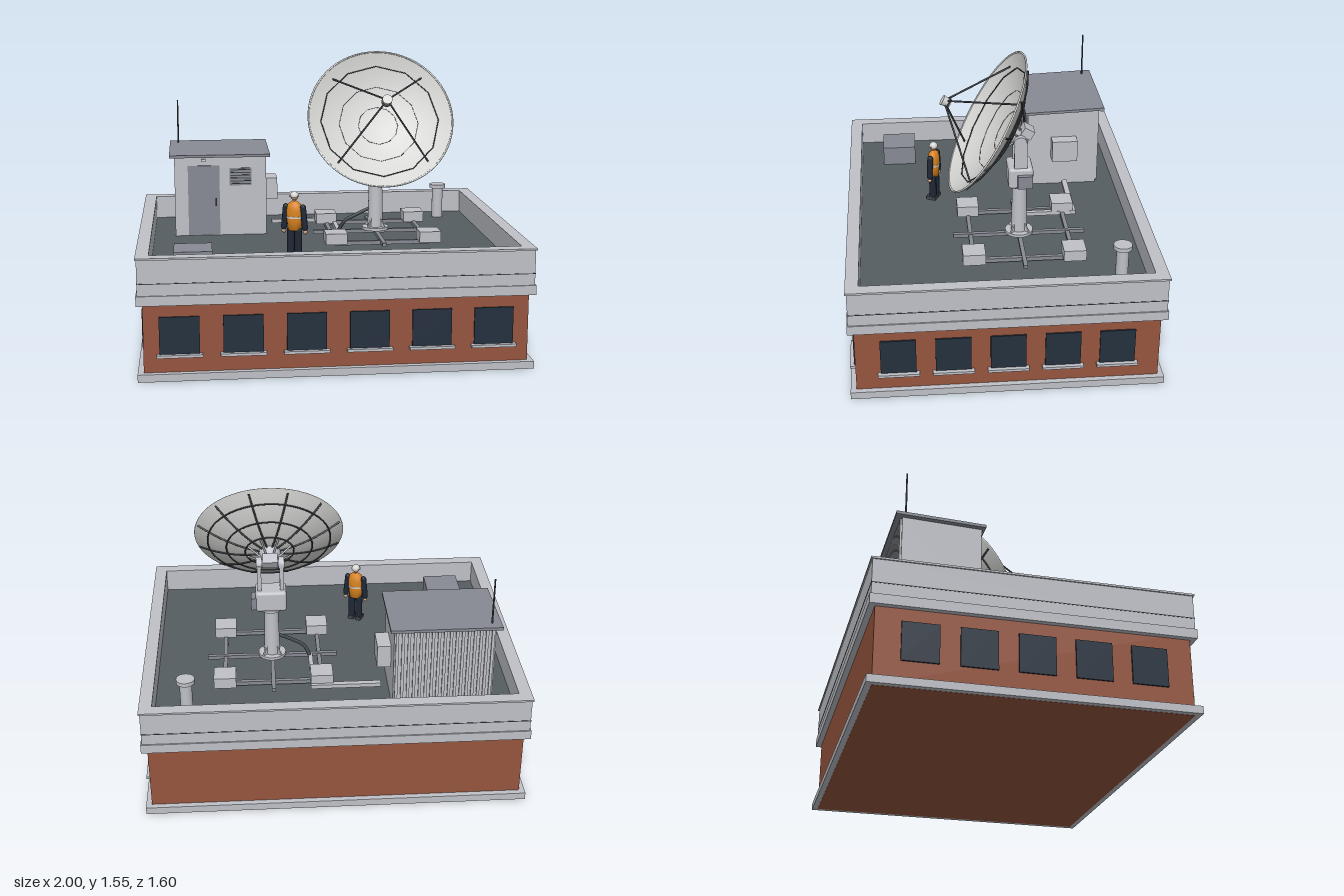
import * as THREE from 'three';
import { RoundedBoxGeometry } from 'three/addons/geometries/RoundedBoxGeometry.js';

const mat = (name, color) => {
  const m = new THREE.MeshStandardMaterial({ color });
  m.name = name;
  return m;
};
const V = (x, y, z) => new THREE.Vector3(x, y, z);

export function createModel() {
  const brick = mat('brick', 0x96553f), concrete = mat('concrete', 0xbfc1c8);
  const deckGrey = mat('roofing felt', 0x555d62), metal = mat('grey metal', 0x878a94);
  const glass = mat('dark glass', 0x24303e), white = mat('off white', 0xd6d6d4);
  const dark = mat('dark steel', 0x43474c), orange = mat('orange vest', 0xdb8420);
  const navy = mat('navy cloth', 0x1f2836), skin = mat('skin', 0xc79a7c);

  const root = new THREE.Group();
  root.name = 'rooftopDishStation';
  const group = (name, parent = root) => {
    const g = new THREE.Group();
    g.name = name;
    parent.add(g);
    return g;
  };
  const add = (parent, name, geo, m, x = 0, y = 0, z = 0) => {
    const mesh = new THREE.Mesh(geo, m);
    mesh.name = name;
    mesh.position.set(x, y, z);
    parent.add(mesh);
    return mesh;
  };
  const box = (parent, name, m, w, h, d, x, y, z) =>
    add(parent, name, new THREE.BoxGeometry(w, h, d), m, x, y, z);
  const cyl = (parent, name, m, r0, r1, h, x, y, z, n = 24) =>
    add(parent, name, new THREE.CylinderGeometry(r1, r0, h, n), m, x, y, z);
  const rod = (parent, name, m, a, b, r, n = 8) => {
    const d = b.clone().sub(a);
    const mesh = cyl(parent, name, m, r, r, d.length(), 0, 0, 0, n);
    mesh.position.copy(a).addScaledVector(d, 0.5);
    mesh.quaternion.setFromUnitVectors(V(0, 1, 0), d.normalize());
    return mesh;
  };
  // Hollow rectangular band between heights y0 and y1
  const frame = (parent, name, m, x, z, ix, iz, y0, y1) => {
    const rect = (T, a, b) => new T([[-a, -b], [a, -b], [a, b], [-a, b]].map(p => new THREE.Vector2(...p)));
    const s = rect(THREE.Shape, x, z);
    s.holes.push(rect(THREE.Path, ix, iz));
    const geo = new THREE.ExtrudeGeometry(s, { depth: y1 - y0, bevelEnabled: false });
    return add(parent, name, geo.rotateX(-Math.PI / 2), m, 0, y0, 0);
  };
  // Side profile of [z, y] points extruded from x0 to x1
  const sideProfile = (parent, name, m, pts, x0, x1) => {
    const s = new THREE.Shape(pts.map(([z, y]) => new THREE.Vector2(-z, y)));
    const geo = new THREE.ExtrudeGeometry(s, { depth: x1 - x0, bevelEnabled: false });
    return add(parent, name, geo.rotateY(Math.PI / 2), m, x0, 0, 0);
  };

  // Building shell
  const building = group('building');
  box(building, 'brickWalls', brick, 1.94, 0.43, 1.54, 0, 0.215, 0);
  frame(building, 'plinth', concrete, 1, 0.8, 0.965, 0.765, 0.001, 0.04);
  frame(building, 'cornice', concrete, 1, 0.8, 0.935, 0.735, 0.39, 0.44);
  frame(building, 'parapet', concrete, 0.993, 0.793, 0.935, 0.735, 0.44, 0.62);
  frame(building, 'parapetCap', concrete, 1, 0.8, 0.934, 0.734, 0.62, 0.63);
  frame(building, 'parapetJoint', dark, 0.995, 0.795, 0.99, 0.79, 0.498, 0.502);
  box(building, 'roofDeck', deckGrey, 1.88, 0.07, 1.48, 0, 0.465, 0);

  // Windows on the front and both sides
  const windows = group('windows');
  for (let i = 0; i < 6; i++) {
    const x = (i - 2.5) * 0.3165;
    box(windows, 'frontWindow', glass, 0.2, 0.195, 0.009, x, 0.228, 0.7745);
    box(windows, 'frontSill', concrete, 0.23, 0.014, 0.035, x, 0.128, 0.7825);
  }
  for (let i = 0; i < 5; i++) {
    const z = (i - 2) * 0.277;
    for (const s of [-1, 1]) box(windows, 'sideWindow', glass, 0.009, 0.195, 0.18, s * 0.9745, 0.228, z);
    box(windows, 'sideSill', concrete, 0.035, 0.014, 0.21, 0.9825, 0.128, z);
  }

  // Equipment hut
  const hut = group('equipmentHut');
  sideProfile(hut, 'hutWalls', concrete, [[-0.23, 0.5], [-0.63, 0.5], [-0.63, 0.968], [-0.23, 0.955]], -0.815, -0.297);
  sideProfile(hut, 'hutRoof', metal, [[-0.213, 0.95], [-0.664, 0.967], [-0.664, 0.983], [-0.213, 0.965]], -0.843, -0.275);
  for (let i = 0; i < 17; i++)
    box(hut, 'corrugation', concrete, 0.015, 0.45, 0.012, -0.8 + i * 0.0305, 0.735, -0.634);
  box(hut, 'door', metal, 0.178, 0.4, 0.009, -0.651, 0.703, -0.2265);
  box(hut, 'doorHandle', dark, 0.008, 0.045, 0.012, -0.583, 0.695, -0.218);
  box(hut, 'doorLamp', white, 0.025, 0.014, 0.02, -0.651, 0.934, -0.222);
  box(hut, 'louvrePanel', metal, 0.125, 0.1, 0.006, -0.443, 0.837, -0.228);
  for (let i = 0; i < 6; i++)
    box(hut, 'louvreSlat', dark, 0.115, 0.005, 0.006, -0.443, 0.797 + i * 0.016, -0.224);
  box(hut, 'coolingUnit', concrete, 0.075, 0.125, 0.145, -0.263, 0.738, -0.437);
  cyl(hut, 'whipAerial', dark, 0.005, 0.004, 0.26, -0.794, 1.1, -0.61, 8);

  // Loose roof equipment
  const roofItems = group('roofEquipment');
  box(roofItems, 'roofHatch', metal, 0.195, 0.11, 0.19, -0.717, 0.555, 0.51);
  cyl(roofItems, 'ventPipe', concrete, 0.032, 0.032, 0.19, 0.767, 0.595, -0.597);
  cyl(roofItems, 'ventCap', concrete, 0.048, 0.048, 0.022, 0.767, 0.69, -0.597);
  box(roofItems, 'cableTray', concrete, 0.37, 0.022, 0.03, -0.07, 0.53, -0.44);
  box(roofItems, 'cableTrayTurn', concrete, 0.024, 0.022, 0.335, 0.105, 0.53, -0.287);

  // Ballasted steel frame under the dish
  const base = group('ballastFrame');
  const cx = 0.314, cz = -0.117;
  for (const s of [-1, 1]) {
    box(base, 'frameRailZ', metal, 0.022, 0.022, 0.52, cx + s * 0.257, 0.525, cz);
    box(base, 'frameRailX', metal, 0.52, 0.022, 0.022, cx, 0.525, cz + s * 0.262);
    for (const t of [-1, 1])
      box(base, 'ballastBlock', concrete, 0.118, 0.06, 0.118, cx + s * 0.257, 0.56, cz + t * 0.262);
  }
  box(base, 'crossRailX', metal, 0.71, 0.02, 0.022, cx, 0.531, cz);
  box(base, 'crossRailZ', metal, 0.022, 0.02, 0.71, cx, 0.531, cz);

  // Pedestal and turning head
  const mount = group('pedestal');
  cyl(mount, 'footFlange', concrete, 0.075, 0.075, 0.016, cx, 0.55, cz);
  cyl(mount, 'column', concrete, 0.044, 0.037, 0.3, cx, 0.69, cz, 32);
  for (let i = 0; i < 4; i++) {
    const fin = new THREE.Shape([[0.035, 0.555], [0.072, 0.555], [0.035, 0.62]].map(p => new THREE.Vector2(...p)));
    const geo = new THREE.ExtrudeGeometry(fin, { depth: 0.008, bevelEnabled: false }).translate(0, 0, -0.004);
    add(mount, 'footGusset', geo, concrete, cx, 0, cz).rotation.y = (i + 0.5) * Math.PI / 2;
  }
  cyl(mount, 'slewRing', concrete, 0.06, 0.06, 0.02, cx, 0.838, cz, 32);
  add(mount, 'turningHead', new RoundedBoxGeometry(0.165, 0.115, 0.13, 3, 0.016), concrete, cx, 0.898, cz);
  box(mount, 'driveBox', metal, 0.03, 0.07, 0.078, cx + 0.092, 0.887, -0.137);
  for (const s of [-1, 1]) {
    box(mount, 'forkArm', concrete, 0.022, 0.16, 0.068, cx + s * 0.06, 1.02, cz);
    cyl(mount, 'pivotBoss', concrete, 0.034, 0.034, 0.03, cx + s * 0.06, 1.1, -0.113).rotation.z = Math.PI / 2;
  }
  const feedCable = new THREE.CatmullRomCurve3([V(0.105, 0.53, -0.14), V(0.14, 0.59, -0.12), V(0.2, 0.625, -0.115), V(0.285, 0.665, -0.115)]);
  add(mount, 'feedCable', new THREE.TubeGeometry(feedCable, 16, 0.01, 8), dark);

  // Dish, built along +y from the pivot and tilted 30 degrees above level
  const dish = group('dish');
  dish.position.set(cx, 1.1, -0.113);
  dish.rotation.x = Math.PI / 3;
  const R = 0.398, y0 = 0.075, depth = 0.125;
  const h = r => y0 + depth * (r / R) ** 2;
  const at = (r, a, off = 0) => V(r * Math.cos(a), h(r) + off, r * Math.sin(a));
  const profile = (off, n = 12) => Array.from({ length: n + 1 }, (_, i) => new THREE.Vector2(R * i / n, h(R * i / n) + off));
  const skinMesh = (name, off) => new THREE.LatheGeometry(profile(off), 64);
  white.side = THREE.DoubleSide;
  add(dish, 'reflectorFront', skinMesh('front', 0), white);
  add(dish, 'reflectorBack', skinMesh('back', -0.007), white);
  add(dish, 'reflectorRim', new THREE.TorusGeometry(R - 0.002, 0.005, 8, 64).rotateX(Math.PI / 2), white, 0, h(R) - 0.003, 0);

  // Back ribs, hoops and panel seams
  for (let i = 0; i < 12; i++) {
    const a = (i + 0.5) * Math.PI / 6;
    const curve = new THREE.CatmullRomCurve3([0.05, 0.14, 0.23, 0.31, 0.39].map(r => at(r, a, -0.011)));
    add(dish, 'backRib', new THREE.TubeGeometry(curve, 10, 0.005, 6), dark);
  }
  const hoop = (name, r, tube, off, n) =>
    add(dish, name, new THREE.TorusGeometry(r, tube, 6, n).rotateX(Math.PI / 2), dark, 0, h(r) + off, 0);
  for (const r of [0.13, 0.23, 0.33]) hoop('backHoop', r, 0.004, -0.013, 48);
  hoop('outerSeam', 0.325, 0.003, 0.002, 12);
  for (const r of [0.11, 0.22]) hoop('innerSeam', r, 0.0012, 0, 12);

  // Hub, support struts and rear gearbox
  cyl(dish, 'hub', concrete, 0.045, 0.06, 0.07, 0, 0.04, 0, 24);
  for (let i = 0; i < 8; i++) {
    const a = (i + 0.5) * Math.PI / 4;
    rod(dish, 'hubStrut', concrete, V(0.04 * Math.cos(a), 0.02, 0.04 * Math.sin(a)), at(0.13, a, -0.008), 0.005);
  }
  cyl(dish, 'pivotAxle', concrete, 0.022, 0.022, 0.15, 0, 0, 0).rotation.z = Math.PI / 2;
  box(dish, 'rearGearbox', concrete, 0.08, 0.06, 0.05, 0, -0.017, -0.052);

  // Feed horn on four legs
  const feedY = h(R) + 0.235;
  for (let i = 0; i < 4; i++) {
    const a = (i + 0.5) * Math.PI / 2;
    rod(dish, 'feedLeg', dark, at(0.347, a), V(0.015 * Math.cos(a), feedY, 0.015 * Math.sin(a)), 0.005);
  }
  cyl(dish, 'feedHorn', white, 0.02, 0.027, 0.045, 0, feedY, 0);
  cyl(dish, 'feedCollar', dark, 0.028, 0.028, 0.008, 0, feedY - 0.012, 0);

  // Technician
  const person = group('technician');
  person.position.set(-0.182, 0.5, 0.318);
  person.rotation.y = -0.46;
  for (const s of [-1, 1]) {
    add(person, 'leg', new THREE.CapsuleGeometry(0.02, 0.12, 4, 12), navy, s * 0.022, 0.085, 0);
    box(person, 'boot', dark, 0.032, 0.02, 0.055, s * 0.022, 0.01, 0.008);
    add(person, 'arm', new THREE.CapsuleGeometry(0.016, 0.11, 4, 12), navy, s * 0.054, 0.215, 0).rotation.z = s * 0.1;
    add(person, 'hand', new THREE.SphereGeometry(0.012, 12, 8), skin, s * 0.061, 0.138, 0);
  }
  const vest = [[0, 0.14], [0.036, 0.145], [0.041, 0.2], [0.044, 0.25], [0.036, 0.285], [0.012, 0.302], [0, 0.303]];
  add(person, 'vest', new THREE.LatheGeometry(vest.map(p => new THREE.Vector2(...p)), 24), orange).scale.z = 0.72;
  cyl(person, 'vestBand', white, 0.043, 0.044, 0.01, 0, 0.215, 0).scale.z = 0.72;
  cyl(person, 'neck', skin, 0.01, 0.01, 0.025, 0, 0.308, 0, 12);
  add(person, 'head', new THREE.SphereGeometry(0.02, 16, 12), skin, 0, 0.325, 0);
  add(person, 'helmet', new THREE.SphereGeometry(0.024, 20, 8, 0, Math.PI * 2, 0, Math.PI / 2), white, 0, 0.328, 0);
  cyl(person, 'helmetBrim', white, 0.027, 0.027, 0.004, 0, 0.328, 0.003);

  return root;
}
